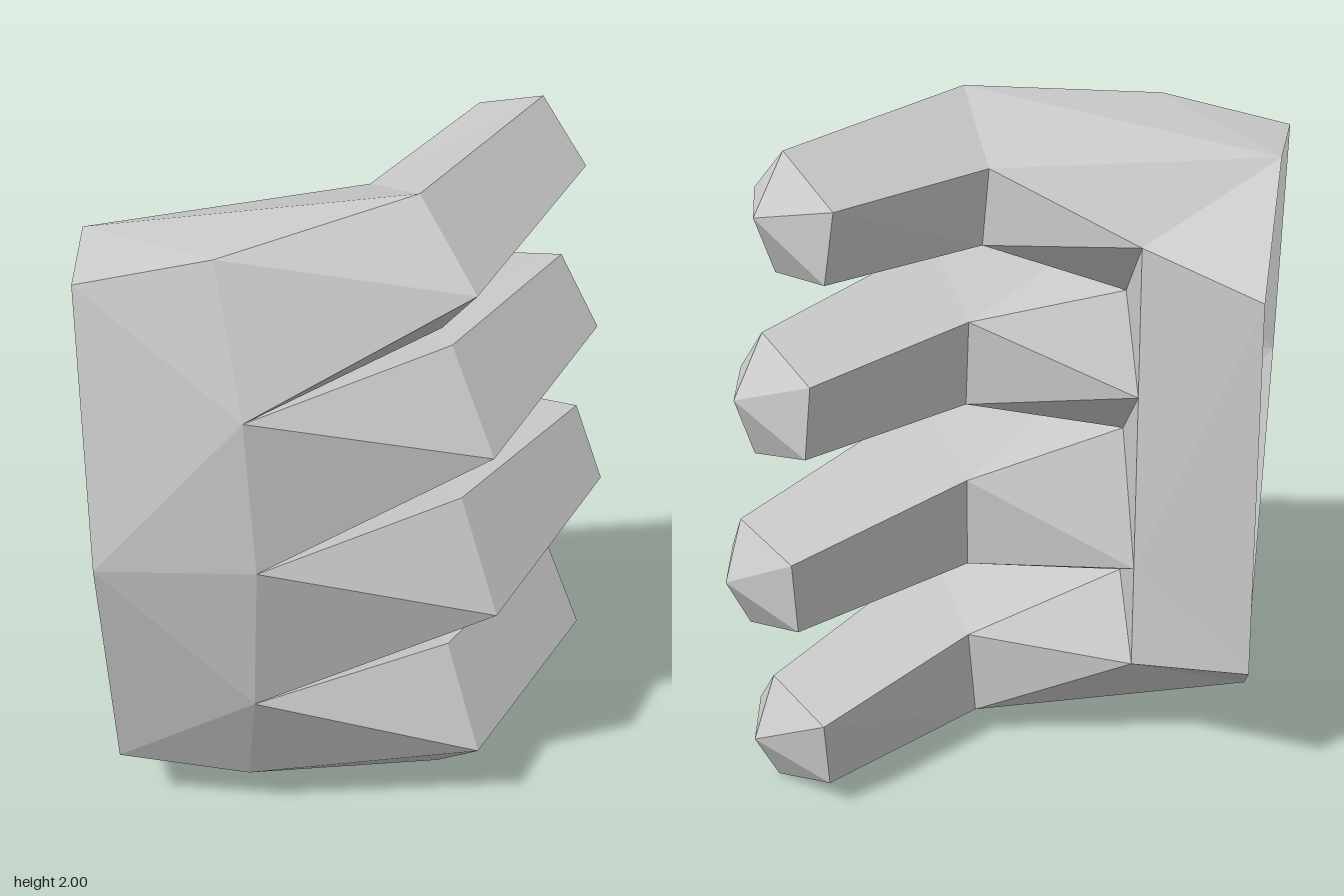
import * as THREE from 'three';

const material = new THREE.MeshStandardMaterial({ color: 0xcccccc, flatShading: true, side: THREE.DoubleSide });

// Flat-shaded mesh from a list of convex polygons (each a list of corners).
function facetMesh(name, polygons) {
  const positions = [];
  for (const p of polygons)
    for (let i = 1; i < p.length - 1; i++) positions.push(...p[0], ...p[i], ...p[i + 1]);
  const geometry = new THREE.BufferGeometry();
  geometry.setAttribute('position', new THREE.Float32BufferAttribute(positions, 3));
  geometry.computeVertexNormals();
  const mesh = new THREE.Mesh(geometry, material);
  mesh.name = name;
  return mesh;
}

// Five-sided sections, in the order: top, front, bottom, back bottom, back top.
const fingers = [
  { name: 'indexFinger',
    knuckle: [[0.13, 2.0, 0.2], [0.24, 1.8, 0.43], [0.2, 1.575, 0.2], [0.08, 1.65, -0.15], [0.06, 1.87, -0.13]],
    tip: [[0.61, 2.0, -0.33], [0.705, 1.84, -0.18], [0.645, 1.65, -0.33], [0.5, 1.69, -0.52], [0.47, 1.9, -0.525]],
    apex: [0.69, 1.84, -0.41] },
  { name: 'middleFinger',
    knuckle: [[0.23, 1.515, 0.2], [0.3, 1.28, 0.44], [0.24, 1.065, 0.2], [0.13, 1.15, -0.14], [0.12, 1.41, -0.14]],
    tip: [[0.69, 1.47, -0.33], [0.77, 1.295, -0.18], [0.725, 1.105, -0.35], [0.57, 1.175, -0.53], [0.55, 1.39, -0.52]],
    apex: [0.77, 1.3, -0.41] },
  { name: 'ringFinger',
    knuckle: [[0.27, 0.99, 0.2], [0.32, 0.745, 0.46], [0.24, 0.535, 0.2], [0.13, 0.62, -0.14], [0.13, 0.9, -0.14]],
    tip: [[0.775, 0.9, -0.36], [0.82, 0.725, -0.2], [0.765, 0.545, -0.34], [0.61, 0.63, -0.54], [0.62, 0.85, -0.545]],
    apex: [0.82, 0.73, -0.43] },
  { name: 'littleFinger',
    knuckle: [[0.24, 0.455, 0.2], [0.28, 0.235, 0.455], [0.21, 0.02, 0.23], [0.11, 0.1, -0.14], [0.13, 0.37, -0.14]],
    tip: [[0.705, 0.365, -0.35], [0.765, 0.18, -0.18], [0.705, 0.005, -0.335], [0.54, 0.09, -0.51], [0.55, 0.3, -0.53]],
    apex: [0.765, 0.18, -0.41] },
];

// Points between the fingers: back of the hand, inner webs, and finger roots on the palm.
const outer = [[-0.45, 1.93, 0.33], [-0.41, 1.52, 0.5], [-0.39, 1.055, 0.545], [-0.4, 0.56, 0.5], [-0.4, 0.155, 0.33]];
const inner = [null, [-0.33, 1.48, -0.08], [-0.33, 1.04, -0.08], [-0.33, 0.56, -0.08], null];
const root = [[-0.36, 1.68, -0.25], [-0.36, 1.22, -0.25], [-0.36, 0.66, -0.25], [-0.36, 0.33, -0.25]];

// Open wrist rim.
const wrist = {
  frontTop: [-0.82, 1.855, 0.26], frontMid: [-0.83, 1.05, 0.44], frontLow: [-0.78, 0.22, 0.25],
  top: [-0.76, 1.865, -0.04], bottom: [-0.73, 0.125, -0.04],
  backTop: [-0.68, 1.6, -0.455], backLow: [-0.69, 0.41, -0.44],
};

function fingerMesh({ name, knuckle, tip, apex }) {
  const faces = [];
  for (let i = 0; i < 5; i++) {
    const j = (i + 1) % 5;
    faces.push([knuckle[i], knuckle[j], tip[j], tip[i]], [tip[i], tip[j], apex]);
  }
  return facetMesh(name, faces);
}

// Tapering base that joins each finger to the hand, with the webs beside it.
function fingerBase(finger, i) {
  const [top, front, bottom, backLow, backTop] = finger.knuckle;
  const above = outer[i], below = outer[i + 1], webAbove = inner[i], webBelow = inner[i + 1];
  const faces = [
    [above, below, front], [above, front, top], [below, bottom, front],
    [backTop, backLow, root[i]],
  ];
  if (webAbove) faces.push([above, top, backTop, webAbove], [root[i], webAbove, backTop]);
  if (webBelow) faces.push([below, webBelow, backLow, bottom], [root[i], backLow, webBelow], [root[i], webBelow, root[i + 1]]);
  return facetMesh(finger.name + 'Base', faces);
}

export function createModel() {
  const hand = new THREE.Group();
  hand.name = 'hand';
  fingers.forEach((finger, i) => hand.add(fingerMesh(finger), fingerBase(finger, i)));

  const w = wrist;
  const first = fingers[0].knuckle, last = fingers[3].knuckle;

  hand.add(facetMesh('backOfHand', [
    [w.frontTop, outer[1], outer[0]],
    [w.frontTop, w.frontMid, outer[1]],
    [w.frontMid, outer[2], outer[1]],
    [w.frontMid, outer[3], outer[2]],
    [w.frontMid, w.frontLow, outer[3]],
    [w.frontLow, outer[4], outer[3]],
  ]));

  hand.add(facetMesh('upperSide', [
    [w.frontTop, outer[0], w.top],
    [w.top, outer[0], first[0]],
    [w.top, first[0], first[4]],
    [w.top, first[4], root[0]],
    [w.top, root[0], w.backTop],
  ]));

  hand.add(facetMesh('lowerSide', [
    [w.frontLow, w.bottom, outer[4]],
    [w.bottom, last[2], outer[4]],
    [w.bottom, last[3], last[2]],
    [w.bottom, root[3], last[3]],
    [w.bottom, w.backLow, root[3]],
  ]));

  hand.add(facetMesh('palm', [
    [w.backTop, root[0], root[1]],
    [w.backTop, root[1], root[2], w.backLow],
    [w.backLow, root[2], root[3]],
  ]));

  return hand;
}
